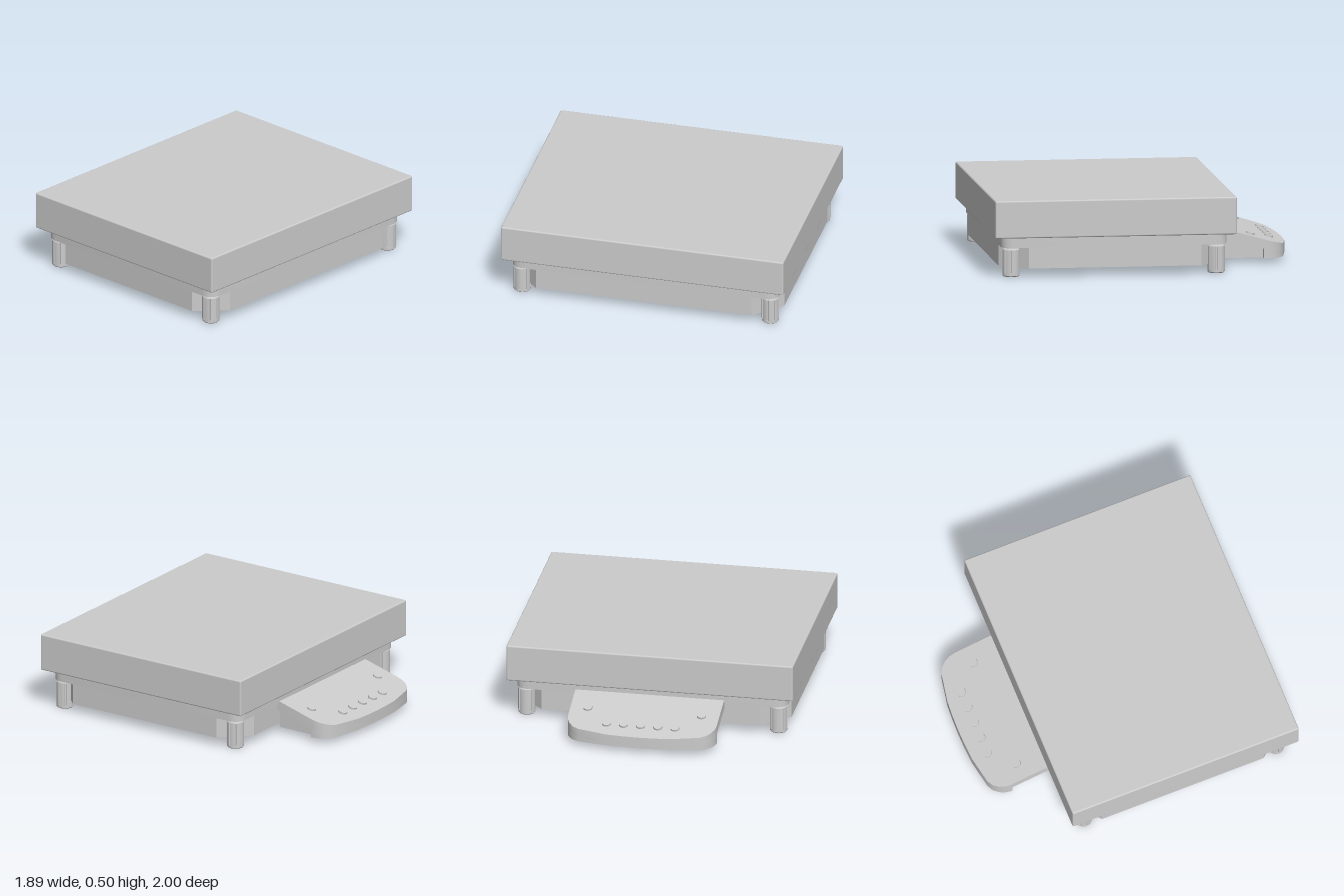
import * as THREE from 'three';
import { toCreasedNormals } from 'three/addons/utils/BufferGeometryUtils.js';
import { RoundedBoxGeometry } from 'three/addons/geometries/RoundedBoxGeometry.js';

const grey = new THREE.MeshStandardMaterial({ color: 0xcccccc });

function add(parent, name, geometry, x = 0, y = 0, z = 0) {
  const mesh = new THREE.Mesh(geometry, grey);
  mesh.name = name;
  mesh.position.set(x, y, z);
  parent.add(mesh);
  return mesh;
}

// Plan shape (x, -z) raised from y = 0 to y = height
function raise(shape, height, curveSegments = 8) {
  return new THREE.ExtrudeGeometry(shape, { depth: height, bevelEnabled: false, curveSegments }).rotateX(-Math.PI / 2);
}

// Rectangle with cut corners, either rounded or straight
function cornerCut(hx, hz, c, rounded) {
  const s = new THREE.Shape();
  s.moveTo(hx, -hz + c);
  const corner = (cx, cy, ex, ey) => (rounded ? s.quadraticCurveTo(cx, cy, ex, ey) : s.lineTo(ex, ey));
  s.lineTo(hx, hz - c);
  corner(hx, hz, hx - c, hz);
  s.lineTo(-hx + c, hz);
  corner(-hx, hz, -hx, hz - c);
  s.lineTo(-hx, -hz + c);
  corner(-hx, -hz, -hx + c, -hz);
  s.lineTo(hx - c, -hz);
  corner(hx, -hz, hx, -hz + c);
  return s;
}

// Mirrors a half outline of (x, -z) points across x = 0
function mirrored(half) {
  const other = half.filter(p => p[0] > 0).reverse().map(([x, y]) => [-x, y]);
  return new THREE.Shape([...half, ...other].map(p => new THREE.Vector2(...p)));
}

const slope = 0.28;
const topY = z => 0.23 + slope * (z + 0.57);
const undersideY = z => 0.17 + 0.26 * (z + 0.545);

// Replaces the flat bottom and top of a unit-high extrusion with rules
function fitHeights(geometry, low, high, leanBack = false) {
  const p = geometry.attributes.position;
  for (let i = 0; i < p.count; i++) {
    const top = p.getY(i) > 0.5;
    if (top && leanBack && p.getZ(i) > -0.55) p.setZ(i, -0.57);
    p.setY(i, (top ? high : low)(p.getZ(i)));
  }
  return toCreasedNormals(geometry, 0.55);
}

function makeFoot() {
  const foot = new THREE.Group();
  foot.name = 'foot';
  // Grip with eight shallow grooves
  const pts = [];
  for (let i = 0; i < 8; i++) {
    for (const [step, r] of [[0, 0.057], [0.25, 0.057], [0.5, 0.057], [0.72, 0.057], [0.78, 0.05], [0.94, 0.05]]) {
      const a = ((i + step) / 8) * Math.PI * 2;
      pts.push(new THREE.Vector2(r * Math.cos(a), r * Math.sin(a)));
    }
  }
  add(foot, 'footGrip', toCreasedNormals(raise(new THREE.Shape(pts), 0.155), 0.5), 0, 0.02, 0);
  // Round pad below and tapered collar above
  const turned = [[0, 0], [0.05, 0], [0.056, 0.006], [0.056, 0.022], [0, 0.022]];
  const collar = [[0, 0.174], [0.056, 0.174], [0.05, 0.184], [0.032, 0.184], [0.032, 0.195], [0, 0.195]];
  for (const [name, profile] of [['footPad', turned], ['footCollar', collar]]) {
    const lathe = new THREE.LatheGeometry(profile.map(p => new THREE.Vector2(...p)), 32);
    add(foot, name, toCreasedNormals(lathe, 0.5));
  }
  return foot;
}

export function createModel() {
  const model = new THREE.Group();
  model.name = 'platformScale';
  const midZ = 0.21;

  // Weighing platform
  add(model, 'platform', new RoundedBoxGeometry(1.89, 0.245, 1.58, 3, 0.01), 0, 0.3825, midZ);

  // Base: rounded plate above a body whose corners are cut away for the feet
  const plate = raise(cornerCut(0.895, 0.74, 0.09, true), 0.072);
  add(model, 'basePlate', toCreasedNormals(plate, 0.5), 0, 0.19, midZ);
  add(model, 'baseBody', raise(cornerCut(0.895, 0.74, 0.175, false), 0.136), 0, 0.055, midZ);

  // Feet
  for (const x of [-0.83, 0.83]) {
    for (const z of [-0.46, 0.883]) {
      const foot = makeFoot();
      foot.position.set(x, 0, z);
      model.add(foot);
    }
  }

  // Control panel: sloped cover over a body narrowed for side grips
  const panel = new THREE.Group();
  panel.name = 'controlPanel';
  model.add(panel);
  const nose = [[0.49, 0.83], [0.484, 0.868], [0.468, 0.902], [0.44, 0.935], [0.4, 0.957], [0.21, 0.992], [0.1, 0.998], [0, 1]];
  const cover = raise(mirrored([[0.49, 0.545], ...nose]), 1);
  add(panel, 'panelCover', fitHeights(cover, undersideY, topY, true));
  const body = raise(mirrored([[0.445, 0.545], [0.445, 0.82], [0.49, 0.82], ...nose]), 1);
  add(panel, 'panelBody', fitHeights(body, () => 0.035, z => undersideY(z) + 0.002));
  add(panel, 'panelBracket', new THREE.BoxGeometry(0.3, 0.07, 0.04), 0, 0.105, -0.537);

  // Buttons lying on the slope
  const spots = [-0.225, -0.1125, 0, 0.1125, 0.225].map(x => [x, -0.886]);
  spots.push([-0.375, -0.745], [0.375, -0.745]);
  for (const [x, z] of spots) {
    const button = add(panel, 'button', new THREE.CylinderGeometry(0.029, 0.03, 0.024, 24), x, topY(z), z);
    button.rotation.x = -Math.atan(slope);
  }
  return model;
}
